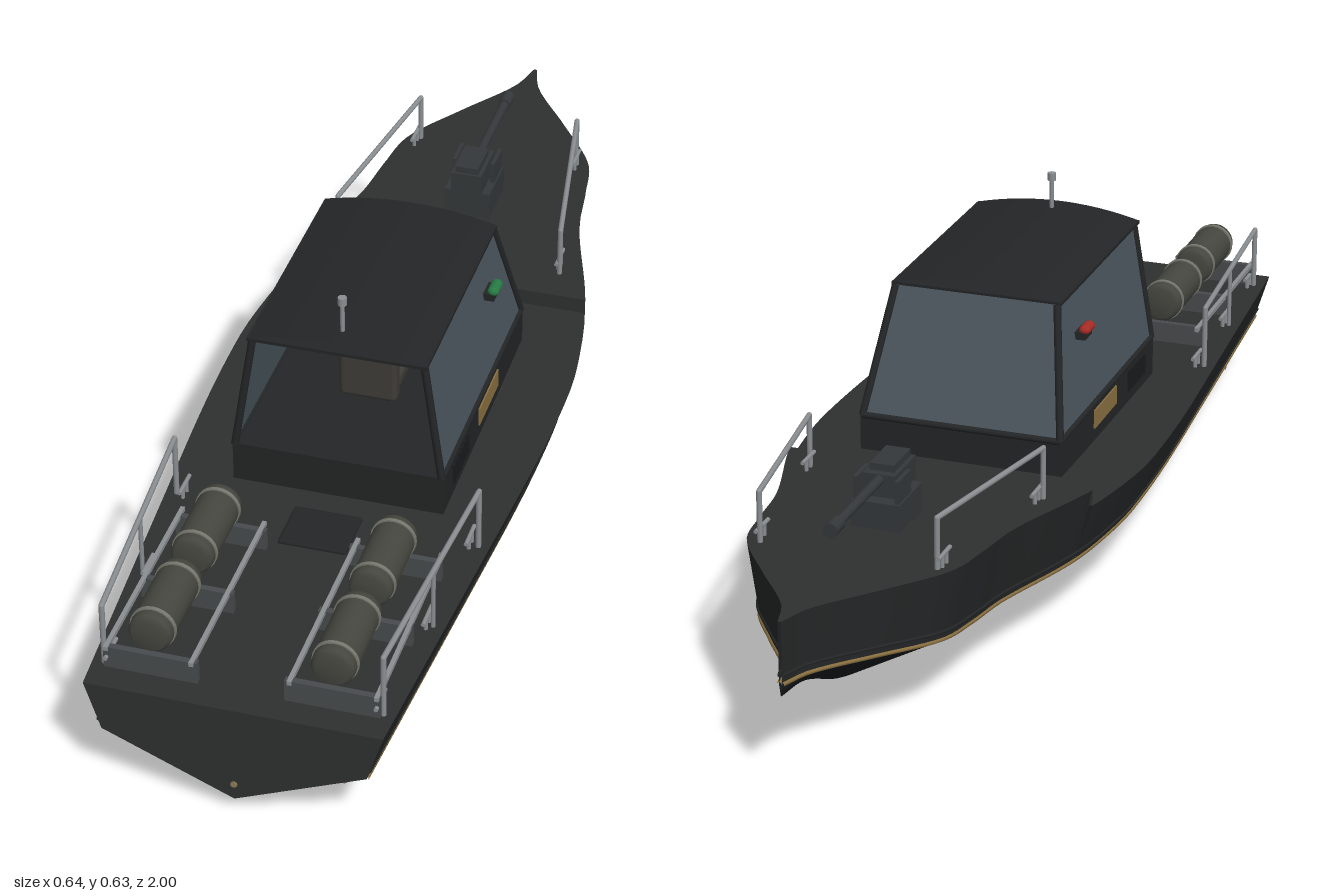
import * as THREE from 'three';
import { RoundedBoxGeometry } from 'three/addons/geometries/RoundedBoxGeometry.js';

const mat = (color, side = THREE.FrontSide) => new THREE.MeshStandardMaterial({ color, side });
const D = THREE.DoubleSide;
const M = {
  bottom: mat(0x191b1d, D), side: mat(0x242627, D), deck: mat(0x2e3030, D), dark: mat(0x232526, D),
  gold: mat(0x8a7040), bronze: mat(0x8f7c58, D), glass: mat(0x4a565d, D), grey: mat(0x484b4d),
  rail: mat(0x8b8f92), drum: mat(0x45463f), band: mat(0x77786f), seat: mat(0x3f3c37),
  red: mat(0xa82c26), green: mat(0x287a45), gun: mat(0x34383a),
};
const V = (x, y, z) => new THREE.Vector3(x, y, z);

function add(parent, name, geo, material, x = 0, y = 0, z = 0) {
  const m = new THREE.Mesh(geo, material);
  m.name = name;
  m.position.set(x, y, z);
  parent.add(m);
  return m;
}
const box = (p, name, m, w, h, d, x, y, z) => add(p, name, new THREE.BoxGeometry(w, h, d), m, x, y, z);

// Round bar between two points
function bar(p, name, m, a, b, r, sides = 10) {
  const mesh = add(p, name, new THREE.CylinderGeometry(r, r, a.distanceTo(b), sides), m);
  mesh.position.copy(a).add(b).multiplyScalar(0.5);
  mesh.quaternion.setFromUnitVectors(V(0, 1, 0), b.clone().sub(a).normalize());
  return mesh;
}

// Cylinder lying along z
function zCyl(p, name, m, r, len, x, y, z, r2 = r) {
  const g = new THREE.CylinderGeometry(r, r2, len, 24).rotateX(Math.PI / 2);
  return add(p, name, g, m, x, y, z);
}

// Surface through rows of points
function loft(rows) {
  const n = rows[0].length, idx = [];
  for (let i = 0; i < rows.length - 1; i++) for (let j = 0; j < n - 1; j++) {
    const a = i * n + j, b = a + n;
    idx.push(a, b, a + 1, a + 1, b, b + 1);
  }
  const g = new THREE.BufferGeometry().setFromPoints(rows.flat());
  g.setIndex(idx);
  g.computeVertexNormals();
  return g;
}

// Smooth curve through [z, value] knots
function curve(k) {
  const slope = i => {
    const a = k[Math.max(i - 1, 0)], b = k[Math.min(i + 1, k.length - 1)];
    return (b[1] - a[1]) / (b[0] - a[0]);
  };
  return z => {
    let i = 0;
    while (i < k.length - 2 && z > k[i + 1][0]) i++;
    const h = k[i + 1][0] - k[i][0], t = (z - k[i][0]) / h, t2 = t * t, t3 = t2 * t;
    return (2 * t3 - 3 * t2 + 1) * k[i][1] + (t3 - 2 * t2 + t) * h * slope(i)
      + (3 * t2 - 2 * t3) * k[i + 1][1] + (t3 - t2) * h * slope(i + 1);
  };
}
const STEP = -0.26;
const beam = curve([[-1, 0.003], [-0.93, 0.026], [-0.82, 0.105], [-0.7, 0.185], [-0.6, 0.205], [-0.48, 0.222],
  [-0.26, 0.288], [-0.1, 0.314], [0, 0.32], [0.2, 0.315], [0.5, 0.295], [1, 0.26]]);
const keel = curve([[-1, 0.17], [-0.9, 0.152], [-0.75, 0.085], [-0.62, 0.047], [-0.3, 0.016], [0, 0], [0.5, 0.012], [1, 0.03]]);
const chine = curve([[-1, 0.19], [-0.85, 0.176], [-0.6, 0.148], [-0.3, 0.13], [0, 0.128], [1, 0.13]]);
const foreDeck = curve([[-1, 0.305], [-0.6, 0.287], [STEP, 0.27]]);
const aftDeck = curve([[STEP, 0.24], [0, 0.232], [1, 0.222]]);

function buildHull(g) {
  const zs = (a, b, n) => Array.from({ length: n + 1 }, (_, i) => a + (b - a) * i / n);
  const fore = zs(-1, STEP, 36), aft = zs(STEP, 1, 32), all = [...fore, ...aft.slice(1)];
  const lower = z => 0.89 * beam(z);
  add(g, 'hullBottom', loft(all.map(z => [V(-lower(z), chine(z), z), V(-lower(z) / 2, (chine(z) + keel(z)) / 2, z),
    V(0, keel(z), z), V(lower(z) / 2, (chine(z) + keel(z)) / 2, z), V(lower(z), chine(z), z)])), M.bottom);
  for (const [name, list, top] of [['foreDeck', fore, foreDeck], ['aftDeck', aft, aftDeck]]) {
    add(g, name, loft(list.map(z => [V(-beam(z), top(z), z), V(beam(z), top(z), z)])), M.deck);
    for (const s of [-1, 1]) add(g, name + 'Side',
      loft(list.map(z => [V(s * beam(z), top(z), z), V(s * lower(z), chine(z), z)])), M.side);
  }
  const w = beam(STEP);
  add(g, 'deckStep', loft([[V(-w, 0.24, STEP), V(w, 0.24, STEP)], [V(-w, 0.27, STEP), V(w, 0.27, STEP)]]), M.deck);
  const t = new THREE.Shape([[-0.26, 0.222], [-0.2314, 0.13], [0, 0.03], [0.2314, 0.13], [0.26, 0.222]]
    .map(p => new THREE.Vector2(...p)));
  add(g, 'transom', new THREE.ShapeGeometry(t), M.deck, 0, 0, 1);
  zCyl(g, 'drainPlug', M.bronze, 0.006, 0.004, 0, 0.062, 1);
  // Stripe on the chine and a thin rubbing strake above it
  for (const s of [-1, 1]) for (const [name, m, up, r, f] of [['stripe', M.gold, 0.002, 0.004, 0.89], ['strake', M.side, 0.018, 0.003, 0.91]]) {
    const path = new THREE.CatmullRomCurve3(all.map(z => V(s * f * beam(z), chine(z) + up, z)));
    add(g, name, new THREE.TubeGeometry(path, 100, r, 6), m);
  }
  add(g, 'deckHatch', new RoundedBoxGeometry(0.125, 0.012, 0.105, 3, 0.005), M.dark, 0, 0.227, 0.505);
}

function buildCabin(g) {
  box(g, 'cabinBase', M.dark, 0.388, 0.08, 0.55, 0, 0.265, 0.125);
  const low = s => [V(s * 0.19, 0.303, 0.398), V(s * 0.19, 0.303, -0.148)];
  const high = s => [V(s * 0.155, 0.532, 0.388), V(s * 0.155, 0.532, -0.065)];
  add(g, 'windshield', loft([[low(-1)[1], low(1)[1]], [high(-1)[1], high(1)[1]]]), M.glass);
  bar(g, 'windshieldSill', M.dark, low(-1)[1], low(1)[1], 0.006);
  for (const s of [-1, 1]) {
    const [a, b] = low(s), [c, d] = high(s);
    add(g, 'sideWindow', loft([[a, b], [c, d]]), M.glass);
    bar(g, 'rearPost', M.dark, a, c, 0.007);
    bar(g, 'frontPost', M.dark, b, d, 0.007);
    bar(g, 'windowSill', M.dark, a, b, 0.006);
    bar(g, 'windowHeader', M.dark, c, d, 0.006);
    box(g, 'sidePanel', M.gold, 0.004, 0.036, 0.13, s * 0.195, 0.275, 0.1);
    for (let i = 0; i < 6; i++) box(g, 'ventSlat', M.bottom, 0.006, 0.04, 0.01, s * 0.195, 0.272, 0.245 + i * 0.018);
    // Navigation lamp on a bracket
    box(g, 'lampBracket', M.dark, 0.022, 0.014, 0.04, s * 0.176, 0.45, 0.02);
    const lamp = add(g, 'navigationLamp', new THREE.CapsuleGeometry(0.009, 0.025, 6, 12).rotateX(Math.PI / 2), s > 0 ? M.green : M.red, s * 0.184, 0.461, 0.02);
    lamp.scale.x = 1.2;
  }
  // Roof plate under a cambered sheet
  box(g, 'roofPlate', M.dark, 0.326, 0.006, 0.465, 0, 0.534, 0.1675);
  const arc = z => Array.from({ length: 17 }, (_, i) => {
    const u = i / 8 - 1;
    return V(u * 0.163, 0.536 + 0.021 * (1 - u * u), z);
  });
  add(g, 'roof', loft([arc(-0.067), arc(0.4)]), M.dark);
  bar(g, 'mast', M.rail, V(0, 0.53, 0.36), V(0, 0.615, 0.36), 0.004);
  add(g, 'mastHead', new THREE.CylinderGeometry(0.008, 0.008, 0.015, 14), M.rail, 0, 0.619, 0.36);
  // Interior
  box(g, 'console', M.grey, 0.22, 0.09, 0.1, 0, 0.35, -0.03);
  add(g, 'seatBack', new RoundedBoxGeometry(0.108, 0.132, 0.03, 3, 0.01), M.seat, 0, 0.376, 0.2);
  add(g, 'seatCushion', new RoundedBoxGeometry(0.108, 0.03, 0.1, 3, 0.01), M.seat, 0, 0.34, 0.14);
  for (const s of [-1, 1]) box(g, 'armrest', M.seat, 0.014, 0.012, 0.08, s * 0.06, 0.4, 0.15);
}

function buildGun(g) {
  box(g, 'gunBase', M.gun, 0.09, 0.055, 0.11, 0, 0.308, -0.52);
  box(g, 'gunBody', M.gun, 0.06, 0.042, 0.1, 0, 0.359, -0.505);
  box(g, 'gunCover', M.gun, 0.045, 0.014, 0.08, 0, 0.386, -0.5);
  for (const s of [-1, 1]) box(g, 'gunCradle', M.gun, 0.008, 0.05, 0.06, s * 0.038, 0.352, -0.54);
  zCyl(g, 'barrel', M.gun, 0.009, 0.22, 0, 0.37, -0.65);
  zCyl(g, 'muzzle', M.gun, 0.013, 0.035, 0, 0.37, -0.76);
}

function railing(p, name, points, r) {
  for (let i = 0; i < points.length - 1; i++) bar(p, name, M.rail, points[i], points[i + 1], r);
  for (const q of points.slice(1, -1)) add(p, name + 'Elbow', new THREE.SphereGeometry(r, 10, 8), M.rail, q.x, q.y, q.z);
}

// Everything that exists once per side, built for +x
function buildSide() {
  const g = new THREE.Group();
  railing(g, 'bowRail', [V(0.22, 0.27, -0.33), V(0.22, 0.37, -0.33), V(0.16, 0.385, -0.7), V(0.16, 0.29, -0.7)], 0.005);
  railing(g, 'sternRail', [V(0.277, 0.225, 0.47), V(0.277, 0.347, 0.47), V(0.243, 0.343, 0.94), V(0.243, 0.222, 0.94)], 0.005);
  bar(g, 'railPost', M.rail, V(0.26, 0.222, 0.7), V(0.26, 0.345, 0.7), 0.004);
  // Cleats
  for (const [x, z] of [[0.262, 0.47], [0.25, 0.7], [0.235, 0.93], [0.215, -0.35], [0.165, -0.68]]) {
    const y = z < STEP ? foreDeck(z) : aftDeck(z);
    for (const o of [-0.01, 0.01]) bar(g, 'cleatFoot', M.rail, V(x, y, z + o), V(x, y + 0.02, z + o), 0.004, 8);
    bar(g, 'cleatHorn', M.rail, V(x, y + 0.022, z - 0.028), V(x, y + 0.022, z + 0.028), 0.004, 8);
  }
  // Drum rack
  for (const z of [0.575, 0.755, 0.945]) box(g, 'rackPlate', M.grey, 0.165, 0.042, 0.012, 0.158, 0.244, z);
  for (const x of [0.085, 0.235]) box(g, 'rackRail', M.rail, 0.008, 0.008, 0.4, x, 0.264, 0.755);
  // Two drums with bands
  for (const z of [0.65, 0.865]) {
    const prof = [[0, -0.088], [0.03, -0.088], [0.037, -0.08], [0.038, -0.07], [0.038, 0.07], [0.037, 0.08], [0.03, 0.088], [0, 0.088]]
      .map(q => new THREE.Vector2(...q));
    add(g, 'drum', new THREE.LatheGeometry(prof, 28).rotateX(Math.PI / 2), M.drum, 0.158, 0.307, z);
    for (const o of [-0.062, 0.062]) zCyl(g, 'drumBand', M.band, 0.0405, 0.007, 0.158, 0.307, z + o);
  }
  // Propeller on its shaft
  const prop = new THREE.Group();
  prop.name = 'propeller';
  prop.position.set(0.16, 0.05, 0.88);
  g.add(prop);
  bar(prop, 'shaft', M.rail, V(0, 0.002, -0.05), V(0, 0.016, -0.16), 0.007);
  zCyl(prop, 'hub', M.bronze, 0.017, 0.07, 0, 0, -0.01, 0.012);
  add(prop, 'hubCap', new THREE.SphereGeometry(0.017, 16, 10), M.bronze, 0, 0, 0.024).scale.z = 1.2;
  const s = new THREE.Shape();
  s.moveTo(-0.008, 0.008);
  s.quadraticCurveTo(-0.018, 0.035, 0.004, 0.05);
  s.quadraticCurveTo(0.014, 0.05, 0.02, 0.044);
  s.quadraticCurveTo(0.012, 0.03, 0.01, 0.008);
  const blade = new THREE.ExtrudeGeometry(s, { depth: 0.003, bevelEnabled: false, curveSegments: 8 }).rotateY(0.5);
  for (let i = 0; i < 3; i++) add(prop, 'blade', blade, M.bronze).rotation.z = Math.PI + i * Math.PI * 2 / 3;
  return g;
}

export function createModel() {
  const model = new THREE.Group();
  model.name = 'patrolBoat';
  for (const [name, build] of [['hull', buildHull], ['cabin', buildCabin], ['deckGun', buildGun]]) {
    const g = new THREE.Group();
    g.name = name;
    build(g);
    model.add(g);
  }
  const left = buildSide(), right = buildSide();
  left.name = 'leftFittings';
  right.name = 'rightFittings';
  right.scale.x = -1;
  model.add(left, right);
  return model;
}
